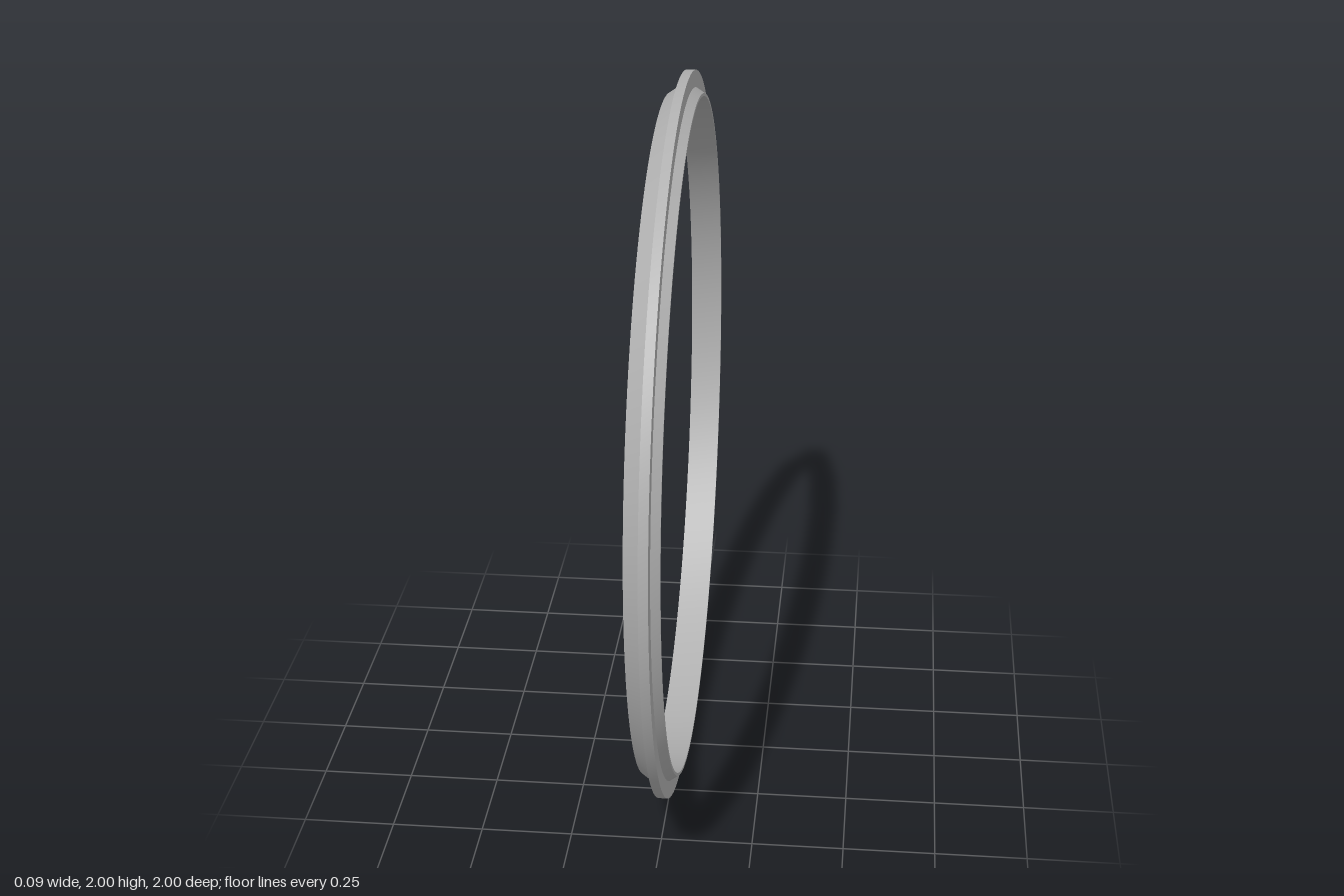
import * as THREE from 'three';
import { toCreasedNormals } from 'three/addons/utils/BufferGeometryUtils.js';

export function createModel() {
  const model = new THREE.Group();
  model.name = 'flangedRing';

  const greyMetal = new THREE.MeshStandardMaterial({ color: 0xb0b0b0 });
  greyMetal.name = 'grey metal';

  // Closed cross-section as (radius, distance along the axis)
  const profile = [
    [0.93, -0.046], // inner bore
    [0.938, -0.046], // narrow end lip
    [0.967, -0.003], // long bevel
    [1, -0.003], // thin outer flange
    [1, 0.022],
    [0.953, 0.022],
    [0.938, 0.045], // short bevel
    [0.93, 0.045],
    [0.93, -0.046],
  ].map(([r, a]) => new THREE.Vector2(r, a));

  // Spin the section, then stand the ring upright with its axis along x
  const lathe = new THREE.LatheGeometry(profile, 128);
  lathe.rotateZ(-Math.PI / 2);
  const ring = new THREE.Mesh(toCreasedNormals(lathe, 0.35), greyMetal);
  ring.name = 'ring';
  ring.position.y = 1;
  model.add(ring);

  return model;
}
